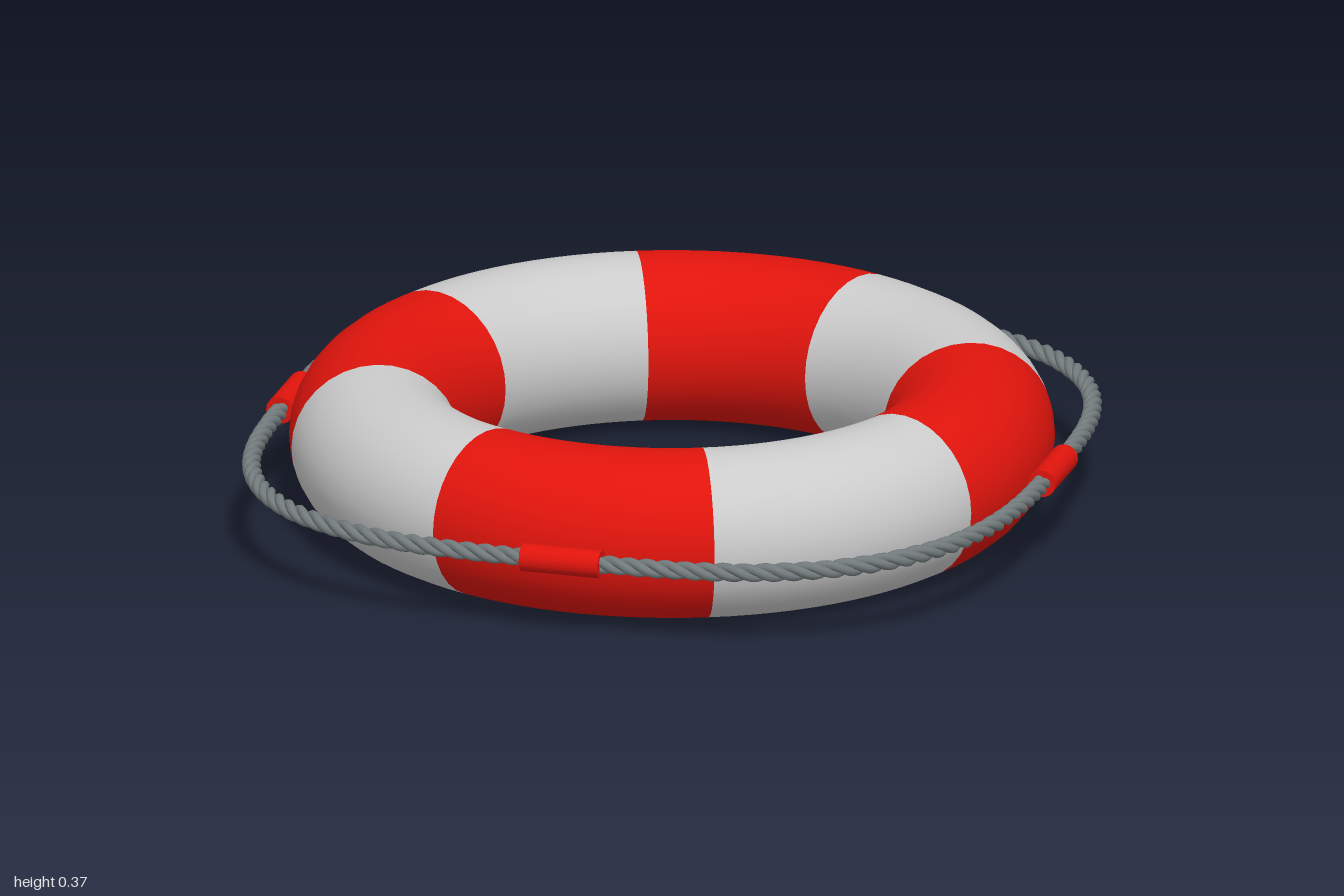
import * as THREE from 'three';

const MID_Y = 0.187;
const CLIP_RADIUS = 0.872;

// Centre line of the rope: held in at the four clips, bowed out between them
function ropePoint(a) {
  const bow = Math.cos(2 * a) ** 2;
  const reach = 0.965 + 0.014 * Math.cos(a) ** 2;
  const r = CLIP_RADIUS + (reach - CLIP_RADIUS) * bow;
  return new THREE.Vector3(r * Math.cos(a), MID_Y, r * Math.sin(a));
}

// One strand winding around the rope's centre line
class StrandCurve extends THREE.Curve {
  constructor(phase, turns, offset) {
    super();
    Object.assign(this, { phase, turns, offset });
  }
  getPoint(t, target = new THREE.Vector3()) {
    const a = t * Math.PI * 2;
    const p = ropePoint(a);
    const tangent = ropePoint(a + 0.001).sub(ropePoint(a - 0.001)).normalize();
    const side = new THREE.Vector3(tangent.z, 0, -tangent.x);
    const w = this.phase + this.turns * a;
    p.addScaledVector(side, this.offset * Math.cos(w));
    p.y += this.offset * Math.sin(w);
    return target.copy(p);
  }
  // Parameter is already close to even spacing
  getPointAt(t, target) { return this.getPoint(t, target); }
  getTangentAt(t, target) { return this.getTangent(t, target); }
}

export function createModel() {
  const model = new THREE.Group();
  model.name = 'lifebuoy';
  const white = new THREE.MeshStandardMaterial({ color: 0xcccccc });
  const red = new THREE.MeshStandardMaterial({ color: 0xe0140c });
  const ropeGrey = new THREE.MeshStandardMaterial({ color: 0x737b7d });

  // Ring of eight alternating sections
  const ring = new THREE.Group();
  ring.name = 'ring';
  const section = new THREE.TorusGeometry(0.655, 0.187, 32, 12, Math.PI / 4);
  section.rotateX(Math.PI / 2);
  for (let i = 0; i < 8; i++) {
    const isRed = i % 2 === 1;
    const mesh = new THREE.Mesh(section, isRed ? red : white);
    mesh.name = isRed ? 'redSection' : 'whiteSection';
    mesh.position.y = MID_Y;
    mesh.rotation.y = -(i - 0.5) * Math.PI / 4;
    ring.add(mesh);
  }
  model.add(ring);

  // Grab rope of three twisted strands
  const rope = new THREE.Group();
  rope.name = 'grabRope';
  for (let i = 0; i < 3; i++) {
    const curve = new StrandCurve(i * Math.PI * 2 / 3, 45, 0.0105);
    const strand = new THREE.Mesh(new THREE.TubeGeometry(curve, 720, 0.0108, 8, true), ropeGrey);
    strand.name = 'ropeStrand';
    rope.add(strand);
  }
  model.add(rope);

  // Sleeves fixing the rope to the red sections
  const sleeve = new THREE.CylinderGeometry(0.031, 0.031, 0.18, 20);
  sleeve.rotateX(Math.PI / 2);
  for (let i = 0; i < 4; i++) {
    const a = Math.PI / 4 + i * Math.PI / 2;
    const clip = new THREE.Mesh(sleeve, red);
    clip.name = 'ropeClip';
    clip.position.set(CLIP_RADIUS * Math.cos(a), MID_Y, CLIP_RADIUS * Math.sin(a));
    clip.rotation.y = -a;
    model.add(clip);
  }
  return model;
}
